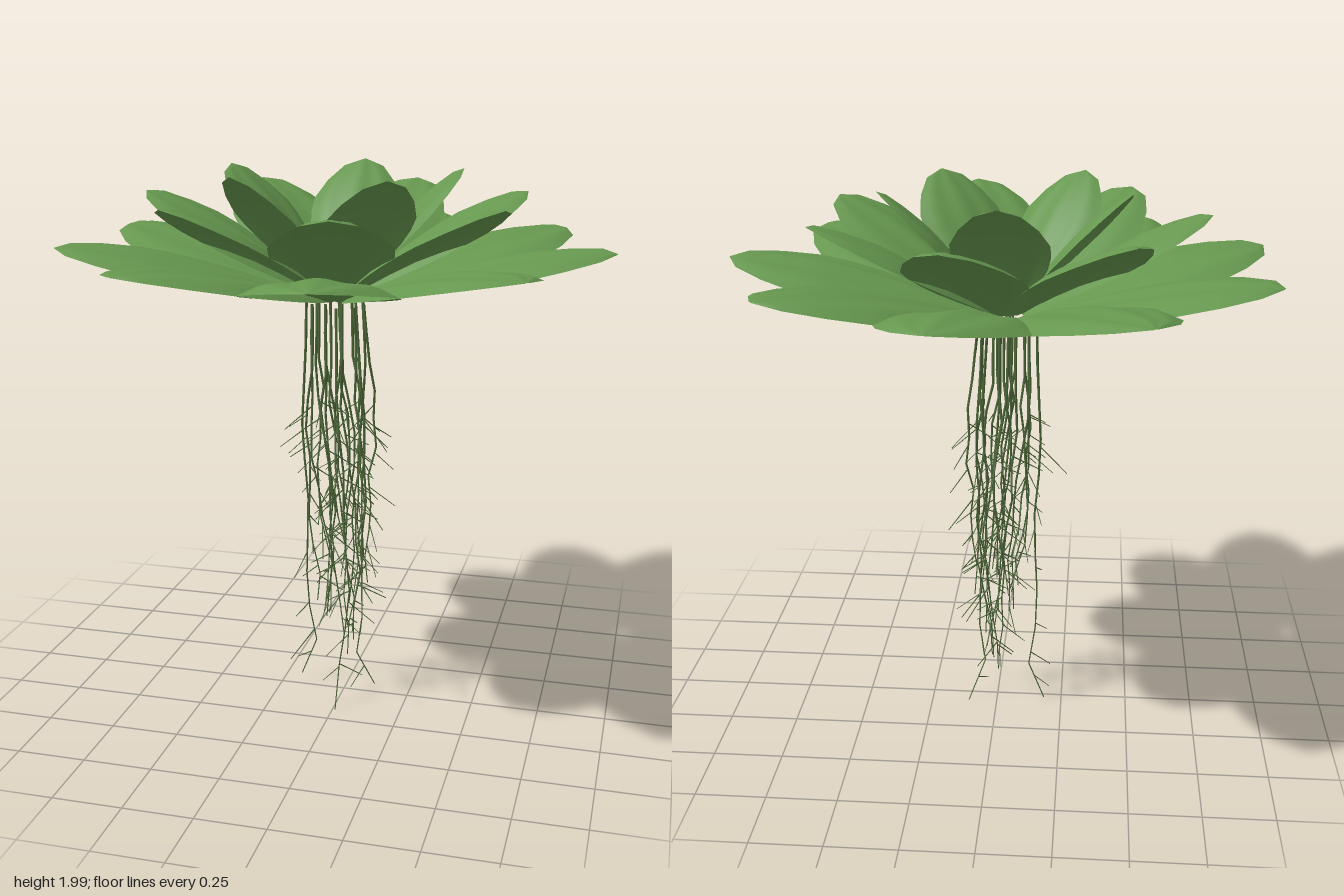
import * as THREE from 'three';
import { mergeGeometries } from 'three/addons/utils/BufferGeometryUtils.js';

const CENTRE_X = -0.03;
const CROWN_Y = 1.53;

// Small seeded generator so the roots are always the same
function seeded(seed) {
  return () => {
    seed = (seed * 1664525 + 1013904223) % 4294967296;
    return seed / 4294967296;
  };
}

// Half-width of a unit leaf at distance t from the crown
const outline = [
  [0.06, 0.018], [0.15, 0.08], [0.26, 0.142], [0.38, 0.198], [0.5, 0.235],
  [0.61, 0.254], [0.71, 0.252], [0.84, 0.197], [0.95, 0.115], [1.0, 0.006],
];

// Domed, softly pleated leaf running along +x from the crown, edges lying flat
function leafGeometry(length) {
  const rows = outline.length - 1;
  const geo = new THREE.PlaneGeometry(1, 2, rows, 20);
  const pos = geo.attributes.position;
  for (let i = 0; i < pos.count; i++) {
    const [t, w] = outline[Math.round((pos.getX(i) + 0.5) * rows)];
    const v = pos.getY(i);
    const dome = 0.2 * (1 - v * v) + 0.018 * (Math.cos(v * Math.PI * 3) + 1);
    pos.setXYZ(i, t * length, w * dome * length, -v * w * length);
  }
  geo.computeVertexNormals();
  return geo;
}

// Tapered segment between two points
function segment(a, b, r0, r1, sides) {
  const dir = b.clone().sub(a);
  const geo = new THREE.CylinderGeometry(r1, r0, dir.length(), sides, 1);
  const turn = new THREE.Quaternion().setFromUnitVectors(
    new THREE.Vector3(0, 1, 0), dir.clone().normalize());
  geo.applyQuaternion(turn);
  const mid = a.clone().add(b).multiplyScalar(0.5);
  return geo.translate(mid.x, mid.y, mid.z);
}

export function createModel() {
  const model = new THREE.Group();
  model.name = 'floatingPlant';
  const leafMat = new THREE.MeshStandardMaterial({ color: 0x66974f, side: THREE.DoubleSide });
  leafMat.name = 'leafGreen';
  const rootMat = new THREE.MeshStandardMaterial({ color: 0x4f6a3a });
  rootMat.name = 'rootGreen';

  // Three rings of leaves: count, length, upward tilt, first bearing (degrees)
  const rings = [
    ['outerLeaf', 9, 1.0, 12.2, 0],
    ['middleLeaf', 7, 0.8, 28.4, 180],
    ['innerLeaf', 5, 0.65, 46.3, 90],
  ];
  for (const [name, count, length, tilt, start] of rings) {
    const geo = leafGeometry(length);
    for (let i = 0; i < count; i++) {
      const leaf = new THREE.Mesh(geo, leafMat);
      leaf.name = name;
      leaf.position.set(CENTRE_X, CROWN_Y, 0);
      leaf.rotation.set(0, THREE.MathUtils.degToRad(start + i * 360 / count),
        THREE.MathUtils.degToRad(tilt), 'YXZ');
      model.add(leaf);
    }
  }

  // Hanging roots with fine side rootlets
  const rand = seeded(41);
  const mains = [], fine = [];
  const rootCount = 20, steps = 10;
  for (let k = 0; k < rootCount; k++) {
    const angle = k * 2.39996;
    const radius = 0.02 + 0.1 * Math.sqrt(k / rootCount);
    const longest = k % 6 === 5;
    const bottom = longest ? 0.01 + 0.03 * rand() : 0.15 + 0.4 * rand();
    const points = [];
    let dx = 0, dz = 0;
    for (let s = 0; s <= steps; s++) {
      const t = s / steps;
      const spread = radius * (1 + 0.3 * Math.sin(t * Math.PI) - 0.3 * t);
      const wobble = s > 2 ? 0.045 : 0.008;
      dx += (rand() - 0.5) * wobble;
      dz += (rand() - 0.5) * wobble;
      points.push(new THREE.Vector3(
        CENTRE_X + Math.cos(angle) * spread + dx + 0.02 * t,
        CROWN_Y + (bottom - CROWN_Y) * t,
        Math.sin(angle) * spread + dz));
    }
    // The longest tips splay outward
    if (longest) {
      points[steps].x += Math.cos(angle) * 0.08;
      points[steps].z += Math.sin(angle) * 0.08;
    }
    for (let s = 0; s < steps; s++) {
      const r0 = 0.0055 - 0.0035 * s / steps;
      mains.push(segment(points[s], points[s + 1], r0, r0 - 0.00035, 5));
      if (s < 2) continue;
      // Rootlets leave the root sideways and downward
      const from = points[s].clone().lerp(points[s + 1], rand());
      if (from.y > 1.18) continue;
      const heading = angle + (rand() - 0.5) * 5;
      const reach = 0.06 + 0.06 * rand();
      const to = from.clone().add(new THREE.Vector3(
        Math.cos(heading) * reach, -reach * (0.5 + 0.5 * rand()), Math.sin(heading) * reach));
      to.y = Math.max(to.y, 0);
      fine.push(segment(from, to, 0.0025, 0.0015, 4));
    }
  }
  for (const [name, parts] of [['mainRoots', mains], ['rootlets', fine]]) {
    const mesh = new THREE.Mesh(mergeGeometries(parts), rootMat);
    mesh.name = name;
    model.add(mesh);
  }
  return model;
}
